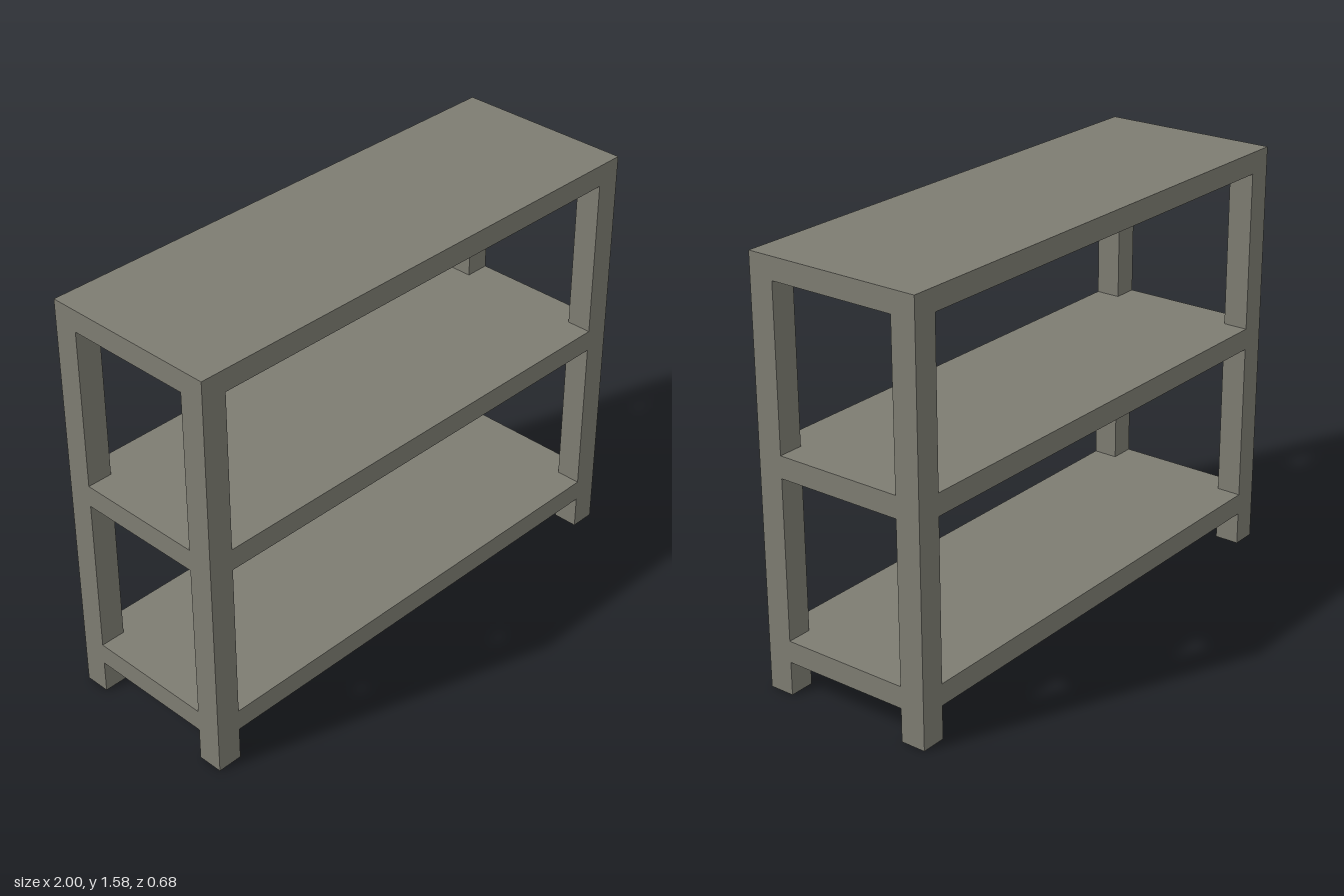
import * as THREE from 'three';

const W = 1.0;      // half width
const D = 0.342;    // half depth
const H = 1.583;    // overall height
const POST = 0.096; // post thickness
const SHELF = 0.082; // shelf thickness

// Shelf outline with its corners notched out to fit around the posts
function shelfGeometry() {
  const x = W - POST, z = D - POST;
  const outline = new THREE.Shape([
    [-x, -D], [x, -D], [x, -z], [W, -z], [W, z], [x, z],
    [x, D], [-x, D], [-x, z], [-W, z], [-W, -z], [-x, -z],
  ].map(([a, b]) => new THREE.Vector2(a, b)));
  return new THREE.ExtrudeGeometry(outline, { depth: SHELF, bevelEnabled: false })
    .rotateX(-Math.PI / 2);
}

export function createModel() {
  const model = new THREE.Group();
  model.name = 'shelvingUnit';
  const paint = new THREE.MeshStandardMaterial({ color: 0x7d7c72 });
  paint.name = 'warm grey';

  // Four full-height corner posts
  const postGeometry = new THREE.BoxGeometry(POST, H, POST);
  for (const [sx, side] of [[1, 'Left'], [-1, 'Right']]) {
    for (const [sz, end] of [[1, 'front'], [-1, 'back']]) {
      const post = new THREE.Mesh(postGeometry, paint);
      post.name = `${end}${side}Post`;
      post.position.set(sx * (W - POST / 2), H / 2, sz * (D - POST / 2));
      model.add(post);
    }
  }

  // Three shelves, flush with the outer faces of the posts
  const board = shelfGeometry();
  const shelves = { bottomShelf: 0.127, middleShelf: 0.815, topShelf: H - SHELF };
  for (const [name, y] of Object.entries(shelves)) {
    const shelf = new THREE.Mesh(board, paint);
    shelf.name = name;
    shelf.position.y = y;
    model.add(shelf);
  }
  return model;
}
